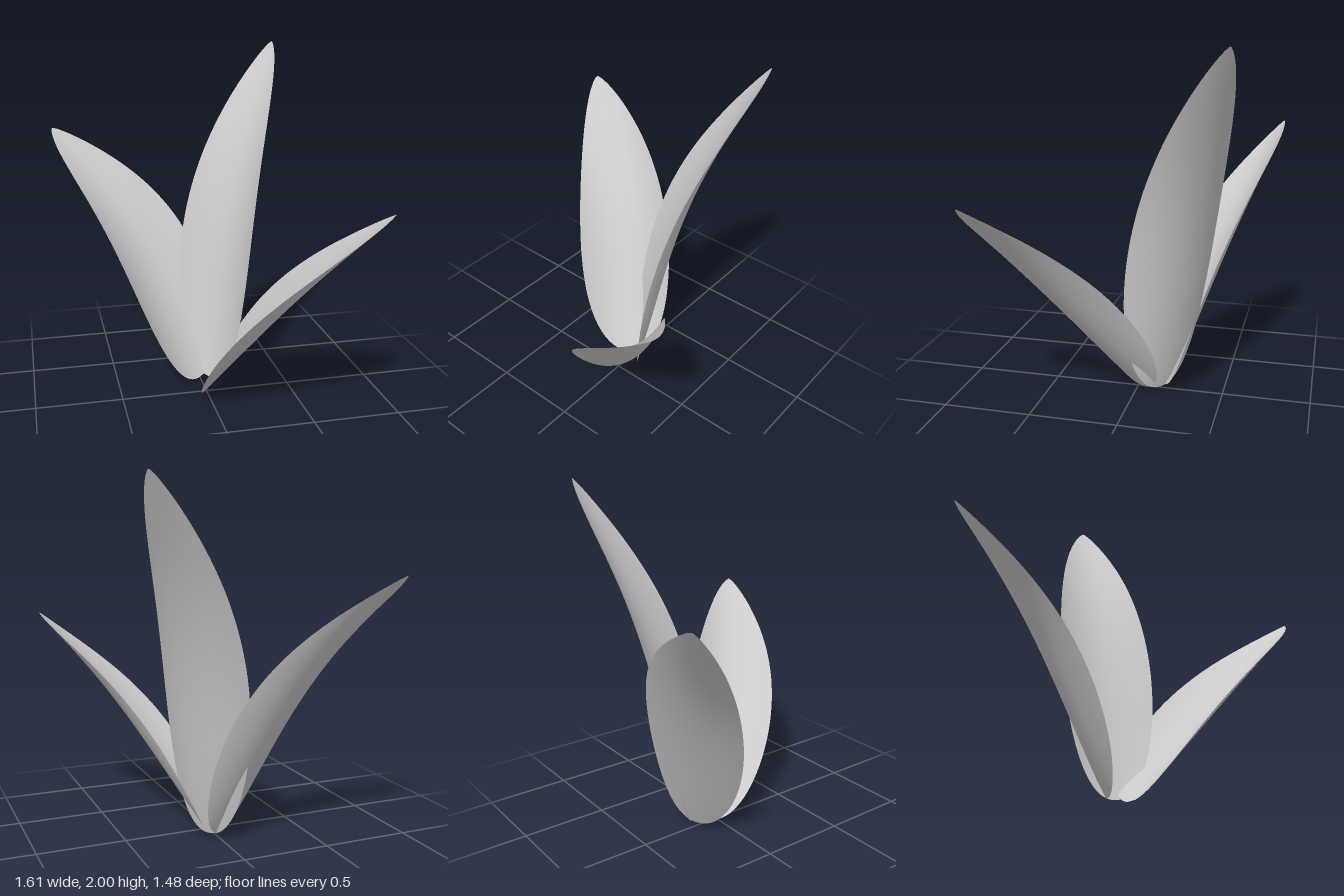
import * as THREE from 'three';

// Each leaf: base and tip of the midrib, width direction, blade width, bow of the
// midrib towards the inner face, sideways sweep and depth of the cupped section.
const LEAVES = [
  { name: 'tallLeaf', base: [0.05, 0.025, -0.13], tip: [0.53, 2.0, -0.56], across: [-0.62, -0.04, -0.78], width: 0.57, bow: 0.1, sweep: 0.015, cup: 0.09 },
  { name: 'backLeaf', base: [0.0, 0.025, -0.15], tip: [-0.8, 1.49, -0.735], across: [-0.79, -0.21, 0.58], width: 0.6, bow: 0.07, sweep: -0.075, cup: 0.095 },
  { name: 'frontLeaf', base: [0.01, 0.0, -0.04], tip: [0.8, 1.225, 0.72], across: [0.55, 0.2, -0.81], width: 0.59, bow: 0.035, sweep: -0.05, cup: 0.09 },
];

// Egg-shaped outline: round at the base, widest in the lower half, narrow at the tip
const halfWidth = (t, w) => w * Math.pow(t, 0.45) * Math.pow(1 - t, 0.72);

function leafGeometry({ base, tip, across, width, bow, sweep, cup }) {
  const start = new THREE.Vector3(...base);
  const rib = new THREE.Vector3(...tip).sub(start);
  const axis = rib.clone().normalize();
  const side = new THREE.Vector3(...across);
  side.addScaledVector(axis, -side.dot(axis)).normalize();
  const inward = axis.clone().cross(side);

  const geo = new THREE.PlaneGeometry(1, 1, 24, 64);
  const pos = geo.attributes.position;
  const p = new THREE.Vector3();
  for (let i = 0; i < pos.count; i++) {
    const s = pos.getX(i) * 2;
    // rows bunch up towards both rounded ends
    const t = 0.0003 + 0.9994 * (1 - Math.cos(Math.PI * (pos.getY(i) + 0.5))) / 2;
    const h = halfWidth(t, width);
    const bend = Math.sin(Math.PI * Math.pow(t, 1.3));
    p.copy(start).addScaledVector(rib, t)
      .addScaledVector(side, s * h + sweep * bend)
      .addScaledVector(inward, bow * bend + cup * Math.pow(s * h / 0.25, 2));
    pos.setXYZ(i, p.x, Math.max(p.y, 0), p.z);
  }
  geo.computeVertexNormals();
  return geo;
}

export function createModel() {
  const group = new THREE.Group();
  group.name = 'plant';
  const leafGrey = new THREE.MeshStandardMaterial({ color: 0xcccccc, side: THREE.DoubleSide });
  leafGrey.name = 'leafGrey';
  for (const leaf of LEAVES) {
    const mesh = new THREE.Mesh(leafGeometry(leaf), leafGrey);
    mesh.name = leaf.name;
    group.add(mesh);
  }
  return group;
}
